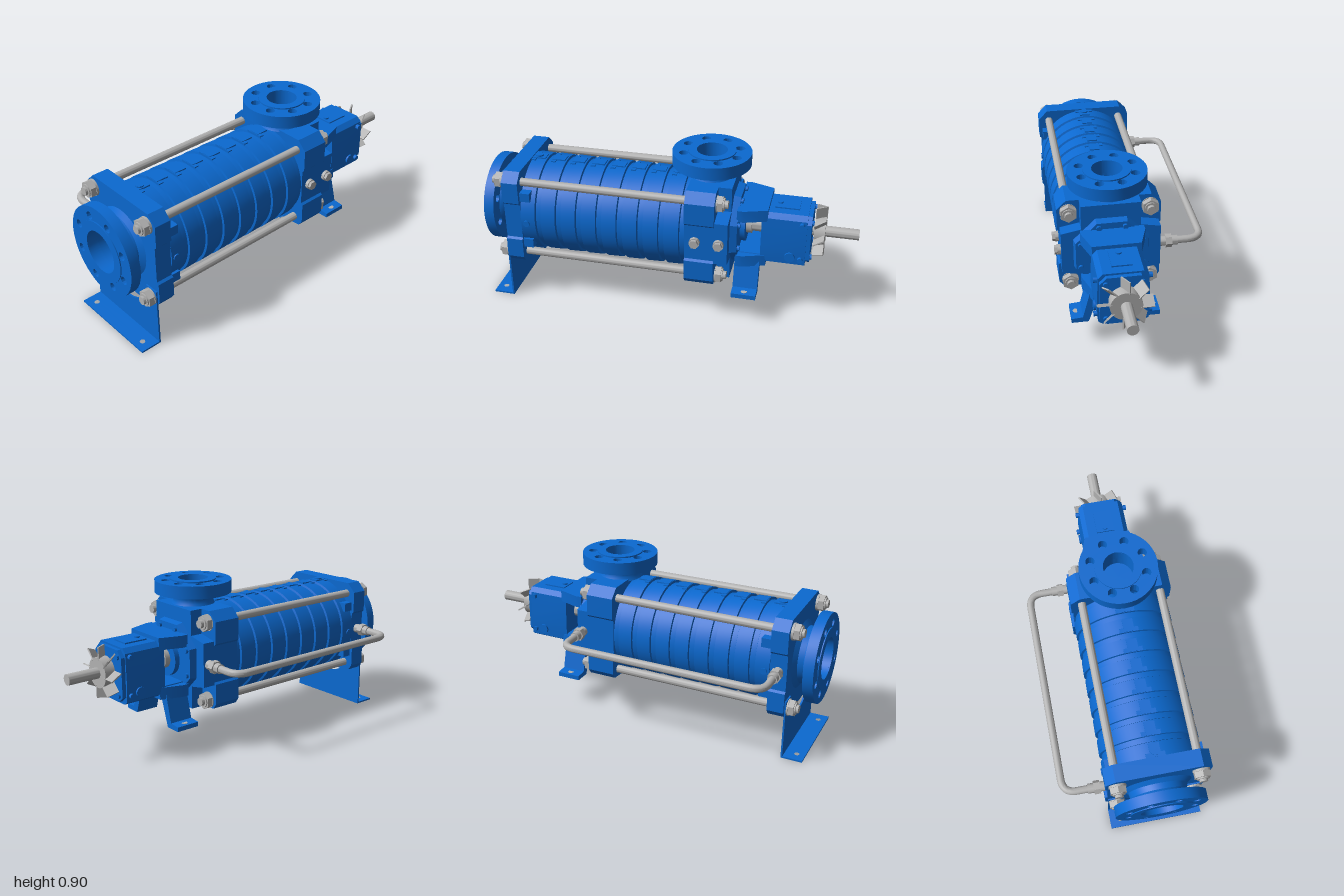
import * as THREE from 'three';
import { toCreasedNormals } from 'three/addons/utils/BufferGeometryUtils.js';

const blue = new THREE.MeshStandardMaterial({ color: 0x0b69d0 });
blue.name = 'blue paint';
const steel = new THREE.MeshStandardMaterial({ color: 0xb2b2b2 });
steel.name = 'bare steel';

export function createModel() {
  const root = new THREE.Group();
  root.name = 'multistagePump';
  // Everything is built around the shaft axis
  const pump = new THREE.Group();
  pump.name = 'pumpOnShaftAxis';
  pump.position.set(0.107, 0.495, 0);
  root.add(pump);

  const add = (name, geo, mat = blue) => {
    const m = new THREE.Mesh(toCreasedNormals(geo, 0.6), mat);
    m.name = name;
    pump.add(m);
    return m;
  };
  const box = (name, w, h, d, x, y, z, mat) =>
    add(name, new THREE.BoxGeometry(w, h, d).translate(x, y, z), mat);
  const cylZ = (name, r, z0, z1, x = 0, y = 0, mat = blue, n = 32) =>
    add(name, new THREE.CylinderGeometry(r, r, Math.abs(z1 - z0), n).rotateX(Math.PI / 2)
      .translate(x, y, (z0 + z1) / 2), mat);
  const cylX = (name, r, x0, x1, y, z, mat = steel, n = 24) =>
    add(name, new THREE.CylinderGeometry(r, r, Math.abs(x1 - x0), n).rotateZ(Math.PI / 2)
      .translate((x0 + x1) / 2, y, z), mat);
  const cylY = (name, r, y0, y1, x, z, mat = blue, n = 24) =>
    add(name, new THREE.CylinderGeometry(r, r, Math.abs(y1 - y0), n)
      .translate(x, (y0 + y1) / 2, z), mat);
  const lathe = (pts) => new THREE.LatheGeometry(pts.map(p => new THREE.Vector2(...p)), 64);
  const extrude = (shape, z0, z1) =>
    new THREE.ExtrudeGeometry(shape, { depth: z1 - z0, bevelEnabled: false, curveSegments: 24 })
      .translate(0, 0, z0);
  const hole = (shape, x, y, r) =>
    shape.holes.push(new THREE.Path().absarc(x, y, r, 0, Math.PI * 2, true));
  // Closed outline from its right half, listed top to bottom
  const mirrored = (half) => new THREE.Shape(
    [...half, ...half.map(([x, y]) => [-x, y]).reverse()].map(p => new THREE.Vector2(...p)));
  // Flange ring with a bore and eight bolt holes
  const flangeShape = (r, bore, pitch, holeR) => {
    const s = new THREE.Shape().absarc(0, 0, r, 0, Math.PI * 2, false);
    hole(s, 0, 0, bore);
    for (let i = 0; i < 8; i++) {
      const a = (i + 0.5) * Math.PI / 4;
      hole(s, pitch * Math.cos(a), pitch * Math.sin(a), holeR);
    }
    return s;
  };

  // Suction and discharge casings
  const outline = [[0.222, 0.275], [0.272, 0.225], [0.272, 0.107], [0.26, 0.095], [0.26, -0.105],
    [0.272, -0.115], [0.272, -0.225], [0.25, -0.255], [0.125, -0.265], [0.105, -0.285]];
  const front = mirrored(outline);
  hole(front, 0, 0, 0.113);
  add('suctionCasing', extrude(front, 0.775, 0.865));
  add('dischargeCasing', extrude(mirrored(outline), -0.275, -0.12));
  add('dischargeCasingRear', extrude(mirrored([[0.155, 0.275], [0.155, 0.14], [0.26, 0.12],
    [0.26, -0.12], [0.155, -0.14], [0.155, -0.265]]), -0.345, -0.275));

  // Suction flange and neck
  add('suctionFlange', extrude(flangeShape(0.243, 0.113, 0.19, 0.022), 0.94, 0.995));
  add('suctionNeck', lathe([[0.185, 0.865], [0.155, 0.885], [0.15, 0.915], [0.165, 0.94],
    [0.165, 1.0], [0.113, 1.0], [0.113, 0.775]]).rotateX(Math.PI / 2));

  // Stage casings with stepped joints
  const profile = [[0, -0.125]];
  const pitch = 0.112;
  for (let i = 0; i < 8; i++) {
    const z = -0.12 + i * pitch;
    profile.push([0.254, z], [0.254, z + 0.028], [0.265, z + 0.032], [0.267, z + pitch - 0.002]);
  }
  profile.push([0.254, 0.776], [0, 0.776]);
  add('stageCasings', lathe(profile).rotateX(Math.PI / 2));
  for (let i = 0; i < 8; i++) {
    const z = -0.12 + i * pitch;
    box('stageLug', 0.056, 0.014, 0.07, 0, 0.264, z + 0.075);
    box('stageLugBase', 0.1, 0.012, 0.025, 0, 0.262, z + 0.1);
  }
  for (const s of [-1, 1]) {
    cylY('vent', 0.022, s * 0.25, s * 0.278, 0, 0.745);
    cylY('ventPlug', 0.025, s * 0.26, s * 0.288, 0, -0.18, blue, 6);
    for (const t of [-1, 1])
      box('casingLug', 0.06, 0.05, 0.06, s * 0.225, t * 0.14, 0.75);
    cylX('sideVent', 0.018, s * 0.255, s * 0.272, -0.01, 0.745, blue);
  }

  // Tie rods with washers and nuts
  for (const x of [-0.213, 0.213]) for (const y of [-0.213, 0.213]) {
    cylZ('tieRod', 0.022, -0.338, 0.93, x, y, steel, 24);
    for (const [s, z] of [[1, 0.872], [-1, -0.275]]) {
      cylZ('washer', 0.045, z - 0.004, z + s * 0.008, x, y, steel);
      cylZ('nut', 0.046, z + s * 0.008, z + s * 0.038, x, y, steel, 6);
      cylZ('nutCollar', 0.033, z + s * 0.038, z + s * 0.045, x, y, steel);
    }
  }

  // Impeller, guide ribs and shaft nut in the inlet
  for (let i = 0; i < 6; i++) {
    const s = new THREE.Shape().moveTo(0.03, 0);
    s.quadraticCurveTo(0.085, 0.0, 0.1, 0.06);
    s.quadraticCurveTo(0.08, 0.008, 0.03, 0.008);
    add('impellerVane', extrude(s, 0.776, 0.83).rotateZ(i * Math.PI / 3));
  }
  for (let i = 0; i < 4; i++)
    add('guideRib', new THREE.BoxGeometry(0.088, 0.007, 0.05).translate(0.07, 0, 0.865)
      .rotateZ(Math.PI / 4 + i * Math.PI / 2));
  cylZ('inletHub', 0.04, 0.776, 0.87);
  cylZ('shaftNut', 0.03, 0.87, 0.895, 0, 0, steel, 6);
  cylZ('shaftNutEnd', 0.014, 0.895, 0.91, 0, 0, steel);

  // Discharge branch, standing upright
  const dz = -0.21;
  add('dischargeFlange', extrude(flangeShape(0.207, 0.08, 0.15, 0.024), 0.335, 0.403)
    .rotateX(-Math.PI / 2).translate(0, 0, dz));
  add('dischargeNeck', lathe([[0.122, 0.265], [0.11, 0.285], [0.108, 0.305], [0.118, 0.328],
    [0.125, 0.335], [0.125, 0.41], [0.08, 0.41], [0.08, 0.277], [0, 0.277]]).translate(0, 0, dz));

  // Front foot: sheet with an arched cut and a bent base
  const sheet = new THREE.Shape().moveTo(-0.258, -0.165).lineTo(-0.258, -0.495)
    .lineTo(0.258, -0.495).lineTo(0.258, -0.165).lineTo(0.177, -0.165);
  sheet.absarc(0, -0.152, 0.178, -0.073, -Math.PI + 0.073, true);
  add('frontFoot', extrude(sheet, 0.864, 0.873));
  const base = mirrored([[0.258, -0.864], [0.258, -0.98]]);
  for (const x of [-0.2, 0.2]) hole(base, x, -0.935, 0.014);
  add('frontFootBase', extrude(base, -0.495, -0.486).rotateX(-Math.PI / 2));

  // Rear cover with screws
  add('rearCover', new THREE.CylinderGeometry(0.205, 0.215, 0.04, 8).rotateY(Math.PI / 8)
    .rotateX(-Math.PI / 2).translate(0, 0, -0.362));
  cylZ('sealHousing', 0.1, -0.38, -0.41);
  cylZ('sealSleeve', 0.055, -0.41, -0.44, 0, 0, steel);
  for (let i = 0; i < 8; i++) {
    const a = (i + 0.5) * Math.PI / 4;
    cylZ('coverScrew', 0.014, -0.38, -0.395, 0.178 * Math.cos(a), 0.178 * Math.sin(a), blue, 12);
  }

  // Bearing bracket: tapering bridges above and below open windows
  const bridge = mirrored([[0.165, 0.375], [0.165, 0.41], [0.125, 0.53]]);
  add('bracketTop', extrude(bridge, 0.09, 0.155).rotateX(-Math.PI / 2).scale(1, 1, 1));
  const lower = bridge.clone();
  add('bracketBottom', extrude(lower, -0.18, -0.115).rotateX(-Math.PI / 2));

  // Rear feet with drilled pads
  add('rearLegs', extrude(mirrored([[0.125, -0.11], [0.175, -0.305], [0.235, -0.31], [0.235, -0.335],
    [0.145, -0.335], [0.09, -0.17]]), -0.5, -0.368));
  for (const x of [-0.205, 0.205])
    cylY('padBoltSeat', 0.017, -0.31, -0.307, x, -0.435, steel);

  // Bearing housing with end cover and screws
  add('bearingHousing', extrude(mirrored([[0.1, 0.135], [0.125, 0.11], [0.132, -0.06],
    [0.125, -0.15], [0.1, -0.165]]), -0.735, -0.5));
  add('bearingCover', extrude(mirrored([[0.085, 0.125], [0.12, 0.09], [0.12, -0.12],
    [0.085, -0.15]]), -0.757, -0.735));
  box('housingTopPad', 0.1, 0.012, 0.13, 0, 0.136, -0.62);
  for (const s of [-1, 1]) {
    cylX('housingPlug', 0.027, s * 0.125, s * 0.14, -0.105, -0.655, blue);
    cylY('oilPlug', 0.015, s > 0 ? 0.13 : -0.16, s > 0 ? 0.15 : -0.185, 0, -0.58, blue, 12);
    for (const y of [0.09, -0.115]) {
      cylZ('bearingCoverScrew', 0.014, -0.757, -0.768, s * 0.09, y, blue, 12);
      cylX('housingScrew', 0.014, s * 0.12, s * 0.145, y, -0.71, blue, 12);
    }
  }

  // Shaft and cooling fan
  cylZ('shaft', 0.042, -0.5, -0.38, 0, 0, steel);
  cylZ('shaftEnd', 0.029, -1.0, -0.75, 0, 0, steel);
  cylZ('fanHub', 0.08, -0.825, -0.768, 0, 0, steel);
  for (let i = 0; i < 8; i++)
    add('fanBlade', new THREE.BoxGeometry(0.007, 0.07, 0.066).rotateY(0.55)
      .translate(0, 0.103, -0.797).rotateZ(i * Math.PI / 4), steel);

  // Balance pipe with fittings
  const v = (x, z) => new THREE.Vector3(x, 0, z);
  const xo = -0.487, zf = 0.82, zr = -0.31, c = 0.075;
  const path = new THREE.CurvePath();
  path.add(new THREE.LineCurve3(v(-0.28, zf), v(xo + c, zf)));
  path.add(new THREE.QuadraticBezierCurve3(v(xo + c, zf), v(xo, zf), v(xo, zf - c)));
  path.add(new THREE.LineCurve3(v(xo, zf - c), v(xo, zr + c)));
  path.add(new THREE.QuadraticBezierCurve3(v(xo, zr + c), v(xo, zr), v(xo + c, zr)));
  path.add(new THREE.LineCurve3(v(xo + c, zr), v(-0.28, zr)));
  add('balancePipe', new THREE.TubeGeometry(path, 120, 0.02, 16), steel);
  for (const z of [zf, zr]) {
    cylX('pipeCollar', 0.026, -0.357, -0.325, 0, z);
    cylX('pipeNut', 0.036, -0.325, -0.292, 0, z, steel, 6);
    cylX('pipeStub', 0.026, -0.292, -0.255, 0, z);
  }

  // Plugs on the left side
  for (const z of [-0.175, -0.3]) {
    cylX('plugWasher', 0.028, 0.255, 0.278, 0, z);
    cylX('plug', 0.025, 0.278, 0.293, 0, z, steel, 6);
  }
  return root;
}
